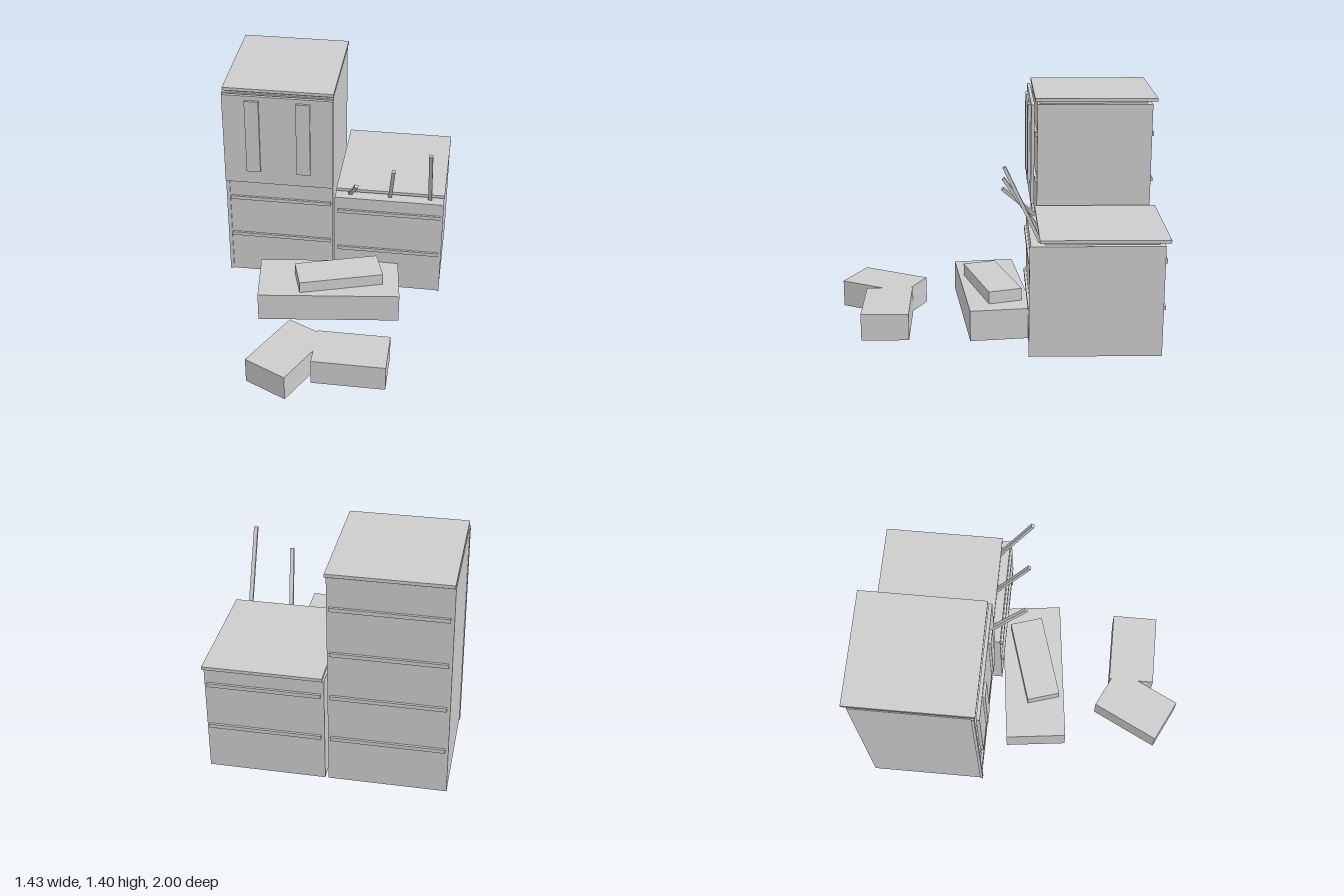
import * as THREE from 'three';

const grey = new THREE.MeshStandardMaterial({ color: 0xcccccc });
grey.name = 'plain grey';

// Box given by its extents on each axis
function block(parent, name, [x0, x1], [y0, y1], [z0, z1]) {
  const m = new THREE.Mesh(new THREE.BoxGeometry(x1 - x0, y1 - y0, z1 - z0), grey);
  m.position.set((x0 + x1) / 2, (y0 + y1) / 2, (z0 + z1) / 2);
  m.name = name;
  parent.add(m);
  return m;
}

// Loose box on the ground, turned about y
function crate(parent, name, w, d, y0, y1, x, z, turn) {
  const m = block(parent, name, [-w / 2, w / 2], [y0, y1], [-d / 2, d / 2]);
  m.position.x = x;
  m.position.z = z;
  m.rotation.y = turn;
}

// Cabinet with raised lid, corner post and rails on front and back
function cabinet(name, [x0, x1], height, front, rails, post, lid) {
  const g = new THREE.Group();
  g.name = name;
  const back = -0.97;
  block(g, 'body', [x0, x1], [0, height], [back, front]);
  block(g, 'lidNeck', [x0 + 0.04, x1 - 0.035], [height, height + 0.018], [-0.94, -0.27]);
  block(g, 'lid', lid, [height + 0.018, height + 0.038], [-1, -0.24]);
  block(g, 'cornerPost', post, [0, height], [front - 0.01, front + 0.008]);
  for (const y of rails) {
    const xr = [x0 + 0.02, x1 - 0.015];
    block(g, 'frontRail', xr, [y - 0.012, y + 0.012], [front, front + 0.014]);
    block(g, 'backRail', xr, [y - 0.012, y + 0.012], [back - 0.014, back]);
  }
  return g;
}

// Thin square rod leaning between two points
function rod(parent, a, b) {
  const from = new THREE.Vector3(...a), to = new THREE.Vector3(...b);
  const m = new THREE.Mesh(new THREE.BoxGeometry(0.024, from.distanceTo(to), 0.02), grey);
  m.position.copy(from).add(to).multiplyScalar(0.5);
  m.quaternion.setFromUnitVectors(new THREE.Vector3(0, 1, 0), to.clone().sub(from).normalize());
  m.name = 'leaningRod';
  parent.add(m);
}

export function createModel() {
  const model = new THREE.Group();
  model.name = 'cabinetsAndBoxes';

  // Tall cabinet with a door panel and two upright handles
  const tall = cabinet('tallCabinet', [-0.71, -0.01], 1.365, -0.255,
    [0.297, 0.587, 0.88, 1.172], [-0.716, -0.693], [-0.709, -0.006]);
  block(tall, 'doorPanel', [-0.711, -0.006], [0.73, 1.365], [-0.237, -0.216]);
  for (const x of [-0.52, -0.195])
    block(tall, 'doorHandle', [x - 0.045, x + 0.045], [0.825, 1.335], [-0.216, -0.2]);
  model.add(tall);

  // Low cabinet with three rods leaning out from its lid
  const low = cabinet('lowCabinet', [0.01, 0.712], 0.685, -0.188,
    [0.297, 0.587], [0.697, 0.714], [0.015, 0.715]);
  rod(low, [0.105, 0.688, -0.243], [0.167, 0.878, -0.035]);
  rod(low, [0.364, 0.688, -0.243], [0.397, 1.007, -0.035]);
  rod(low, [0.622, 0.688, -0.245], [0.622, 1.137, -0.035]);
  model.add(low);

  // Two stacked boxes
  crate(model, 'largeBox', 0.909, 0.388, 0, 0.195, 0.0025, 0.028, 0.12);
  crate(model, 'smallBox', 0.544, 0.212, 0.195, 0.273, 0.066, 0.03, 0.3);

  // Two overlapping boxes on the ground in front
  crate(model, 'frontBox', 0.454, 0.292, 0, 0.17, 0.23, 0.686, 0);
  crate(model, 'turnedBox', 0.291, 0.457, 0, 0.17, -0.157, 0.728, -0.464);
  return model;
}
